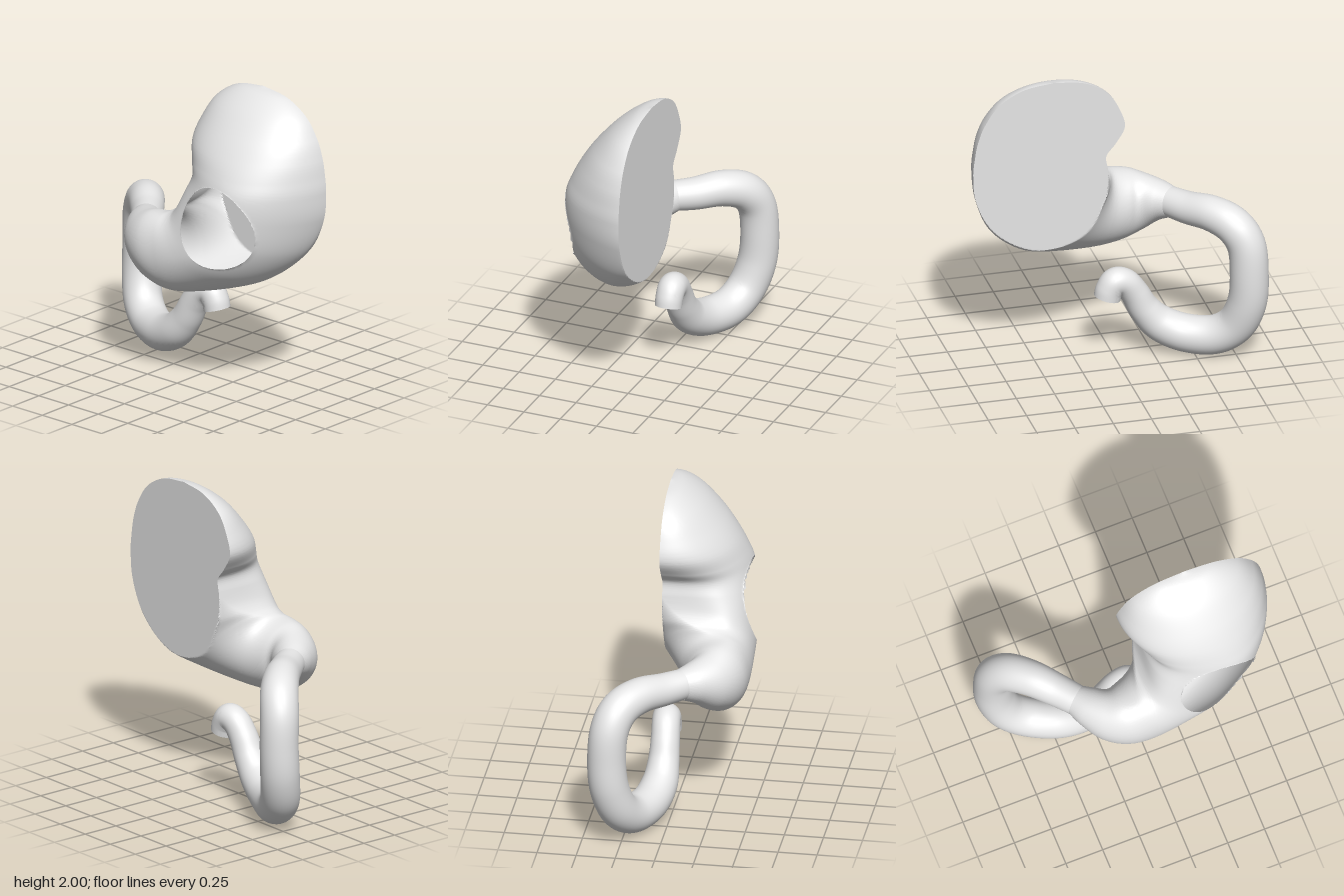
import * as THREE from 'three';
import { toCreasedNormals } from 'three/addons/utils/BufferGeometryUtils.js';

const CUT_Z = -0.12;                       // flat plane at the back of the body
const HOLE = { x: 0.443, y: 1.188, r: 0.268 }; // round window in the front wall

// Skin of closed rings: point(u, angle) gives the surface; inside(p) marks a hole
function skin(rings, sides, point, inside = () => false, toRim = () => {}) {
  const pts = [], index = [];
  for (let i = 0; i <= rings; i++) {
    for (let j = 0; j < sides; j++) pts.push(point(i / rings, (j / sides) * Math.PI * 2));
  }
  const cut = pts.map(inside);
  const add = (...t) => { if (!t.every((k) => cut[k])) index.push(...t); };
  for (let i = 0; i < rings; i++) {
    for (let j = 0; j < sides; j++) {
      const a = i * sides + j, b = i * sides + (j + 1) % sides;
      add(a, b, a + sides);
      add(b, b + sides, a + sides);
    }
  }
  pts.forEach((p, k) => { if (cut[k]) toRim(p); });
  const g = new THREE.BufferGeometry().setFromPoints(pts);
  g.setIndex(index);
  return toCreasedNormals(g, 0.6);
}

// Smooth interpolation through rows of three numbers
const spline = (rows) => new THREE.CatmullRomCurve3(rows.map((r) => new THREE.Vector3(...r)), false, 'catmullrom', 0.5);

// Body sections: inner curve x, y | outer curve x, y | centre z, front depth, back depth,
// sideways tilt, roundness of the inner shoulder (1 = ellipse, less = fuller)
const SECTIONS = [
  [0.40, 2.00, 0.40, 2.00, -0.12, 0.00, 0.00, 0, 1],
  [0.20, 1.97, 0.60, 1.97, -0.12, 0.10, 0.05, 0, 1],
  [0.05, 1.88, 0.76, 1.88, -0.12, 0.225, 0.10, 0, 1],
  [-0.03, 1.75, 0.855, 1.75, -0.12, 0.345, 0.20, 0, 1],
  [-0.06, 1.63, 0.90, 1.63, -0.12, 0.43, 0.20, 0, 0.95],
  [0.00, 1.52, 0.92, 1.52, -0.12, 0.485, 0.20, 0, 0.75],
  [0.06, 1.44, 0.93, 1.40, -0.12, 0.52, 0.20, 0, 0.55],
  [0.05, 1.35, 0.91, 1.22, -0.12, 0.54, 0.20, 0, 0.4],
  [0.03, 1.26, 0.81, 0.99, -0.05, 0.485, 0.25, 0, 0.35],
  [0.00, 1.20, 0.62, 0.81, 0.05, 0.395, 0.30, 0, 0.45],
  [-0.03, 1.17, 0.38, 0.715, 0.16, 0.29, 0.29, 0, 0.65],
  [-0.08, 1.145, 0.06, 0.65, 0.275, 0.18, 0.275, 0, 0.9],
  [-0.19, 1.13, -0.14, 0.67, 0.27, 0.175, 0.21, -0.1, 1],
  [-0.27, 1.105, -0.27, 0.735, 0.215, 0.165, 0.15, -0.42, 1],
  [-0.36, 1.08, -0.36, 0.82, 0.14, 0.125, 0.125, -0.65, 1],
  [-0.42, 1.06, -0.42, 0.865, 0.07, 0.095, 0.095, -0.7, 1],
];

function bodyGeometry() {
  const inner = spline(SECTIONS.map((s) => [s[0], s[1], s[7]]));
  const outer = spline(SECTIONS.map((s) => [s[2], s[3], s[4]]));
  const depth = spline(SECTIONS.map((s) => [s[5], s[6], s[8]]));
  const point = (u, a) => {
    const l = inner.getPoint(u), g = outer.getPoint(u), d = depth.getPoint(u);
    const c = Math.cos(a), s = Math.sin(a), tilt = Math.min(0, l.z);
    const power = c < 0 ? d.z : 1 + 0.4 * (1 - d.z); // full inner side, leaner outer side
    const out = s > 0 ? Math.pow(s, power) * Math.max(0, d.x) : s * Math.max(0, d.y);
    return new THREE.Vector3(
      (l.x + g.x) / 2 + (g.x - l.x) / 2 * c + out * tilt,
      (l.y + g.y) / 2 + (g.y - l.y) / 2 * c,
      Math.max(CUT_Z, g.z + out * Math.sqrt(1 - tilt * tilt)));
  };
  const inside = (p) => p.z > 0.1 && Math.hypot(p.x - HOLE.x, p.y - HOLE.y) < HOLE.r;
  const toRim = (p) => {
    const k = HOLE.r / (Math.hypot(p.x - HOLE.x, p.y - HOLE.y) || 1);
    p.x = HOLE.x + (p.x - HOLE.x) * k;
    p.y = HOLE.y + (p.y - HOLE.y) * k;
  };
  return skin(240, 160, point, inside, toRim);
}

// Tube path x, y, z and radius
const PATH = [
  [-0.41, 0.965, 0.08, 0.098], [-0.50, 0.962, -0.03, 0.105], [-0.62, 0.968, -0.16, 0.115],
  [-0.73, 0.92, -0.265, 0.122], [-0.80, 0.80, -0.32, 0.123], [-0.815, 0.60, -0.335, 0.123],
  [-0.805, 0.40, -0.32, 0.125], [-0.745, 0.23, -0.27, 0.125], [-0.62, 0.138, -0.205, 0.125],
  [-0.45, 0.135, -0.125, 0.122], [-0.30, 0.20, -0.08, 0.115], [-0.20, 0.31, -0.07, 0.10],
  [-0.135, 0.43, -0.07, 0.092], [-0.075, 0.51, -0.075, 0.09], [-0.01, 0.53, -0.08, 0.09],
  [0.03, 0.48, -0.08, 0.088], [0.045, 0.425, -0.08, 0.086],
];

function tubeGeometry() {
  const rings = 140;
  const path = spline(PATH.map((p) => p.slice(0, 3)));
  const radius = spline(PATH.map((p) => [p[3], 0, 0]));
  // Parallel frames, sampled at the same parameter as the rings
  path.getPointAt = path.getPoint;
  path.getTangentAt = path.getTangent;
  const f = path.computeFrenetFrames(rings, false);
  return skin(rings + 1, 40, (u, a) => {
    const i = Math.round(u * (rings + 1)), k = Math.min(i, rings);
    const r = i > rings ? 0 : radius.getPoint(k / rings).x; // last ring closes the end
    return path.getPoint(k / rings)
      .addScaledVector(f.normals[k], r * Math.cos(a))
      .addScaledVector(f.binormals[k], r * Math.sin(a));
  });
}

export function createModel() {
  const group = new THREE.Group();
  group.name = 'stomach';
  const grey = new THREE.MeshStandardMaterial({ color: 0xe6e6e6, side: THREE.DoubleSide });
  grey.name = 'light grey';
  const parts = { stomachBody: bodyGeometry(), intestineTube: tubeGeometry() };
  for (const [name, geometry] of Object.entries(parts)) {
    const mesh = new THREE.Mesh(geometry, grey);
    mesh.name = name;
    group.add(mesh);
  }
  return group;
}
